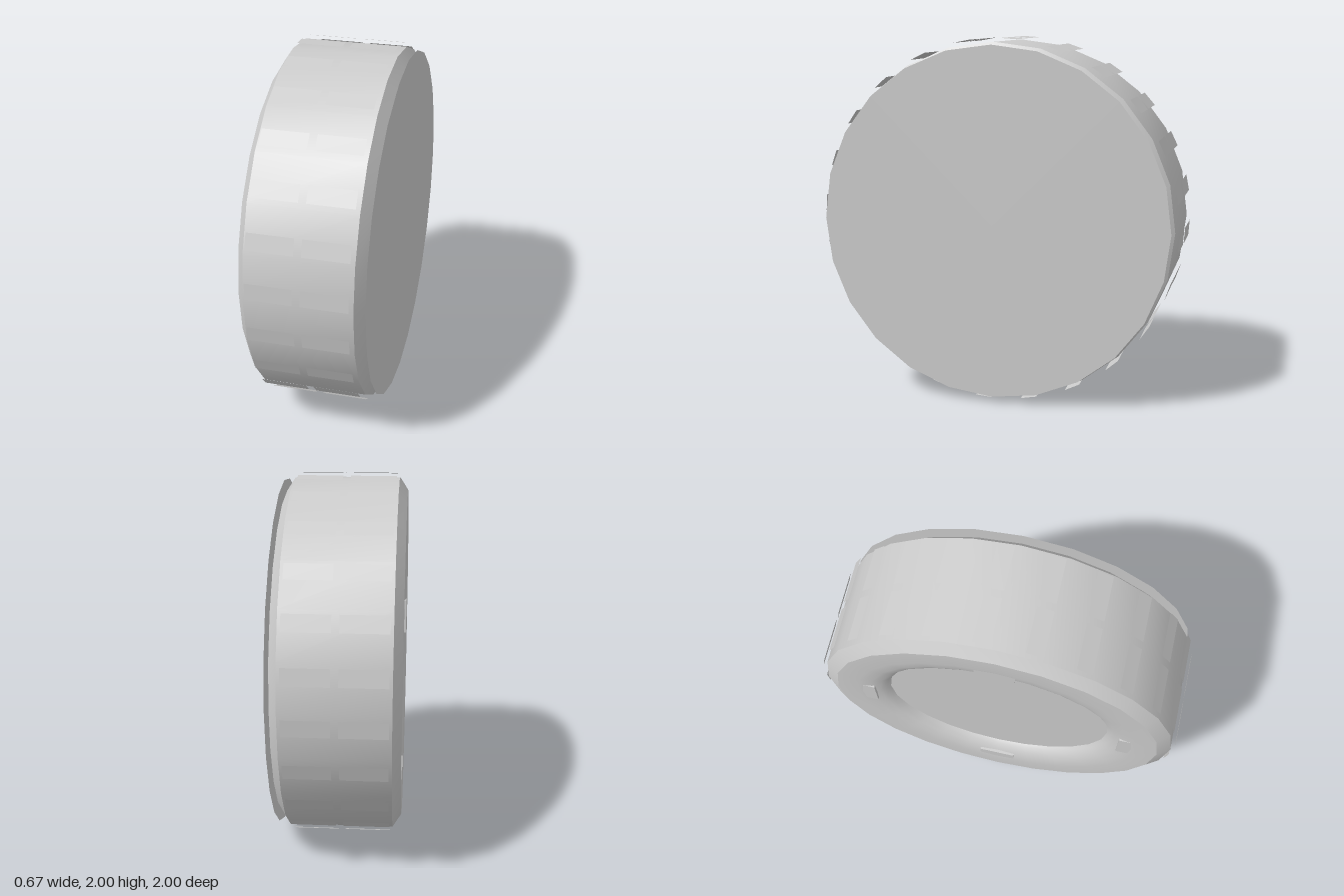
import * as THREE from 'three';
import { toCreasedNormals } from 'three/addons/utils/BufferGeometryUtils.js';

const SIDES = 24;

export function createModel() {
  const model = new THREE.Group();
  model.name = 'wheel';
  const grey = new THREE.MeshStandardMaterial({ color: 0xcccccc, side: THREE.DoubleSide });
  grey.name = 'plain grey';

  const add = (parent, name, geometry) => {
    const mesh = new THREE.Mesh(geometry, grey);
    mesh.name = name;
    parent.add(mesh);
    return mesh;
  };

  // Tyre: profile of (radius, x) turned about the x axis
  const profile = [
    [0.62, -0.265], [0.635, -0.285], [0.67, -0.308], [0.72, -0.325], [0.79, -0.335],
    [0.91, -0.335], [0.98, -0.29], [0.98, 0.275], [0.91, 0.32], [0.62, 0.32],
  ].map(([r, x]) => new THREE.Vector2(r, x));
  const tyre = new THREE.LatheGeometry(profile, SIDES).rotateZ(-Math.PI / 2);
  add(model, 'tyre', toCreasedNormals(tyre, 0.5)).position.y = 1;

  // Recessed hub face on the right side
  const hub = new THREE.CircleGeometry(0.625, SIDES).rotateY(-Math.PI / 2);
  add(model, 'hubFace', hub).position.set(-0.267, 1, 0);

  // Flat cover disc on the left side
  const cover = new THREE.CircleGeometry(0.967, SIDES).rotateY(Math.PI / 2);
  add(model, 'coverDisc', cover).position.set(0.335, 1, 0);

  // Four shallow blocks set into the sidewall
  const blocks = new THREE.Group();
  blocks.name = 'sidewallBlocks';
  blocks.position.y = 1;
  for (let i = 0; i < 4; i++) {
    const block = new THREE.BoxGeometry(0.03, 0.11, 0.21)
      .translate(-0.317, 0.745, 0)
      .rotateX(i * Math.PI / 2);
    add(blocks, 'sidewallBlock', block);
  }
  model.add(blocks);

  // Two rows of flat tread pads around the rim
  const treads = new THREE.Group();
  treads.name = 'treadPads';
  treads.position.y = 1;
  for (let i = 0; i < SIDES; i++) {
    const angle = THREE.MathUtils.degToRad(4.1 + i * 360 / SIDES);
    for (const x of [-0.152, 0.133]) {
      const pad = new THREE.PlaneGeometry(0.245, 0.09)
        .translate(x, 0, 0.999)
        .rotateX(-angle);
      add(treads, 'treadPad', pad);
    }
  }
  model.add(treads);

  return model;
}
